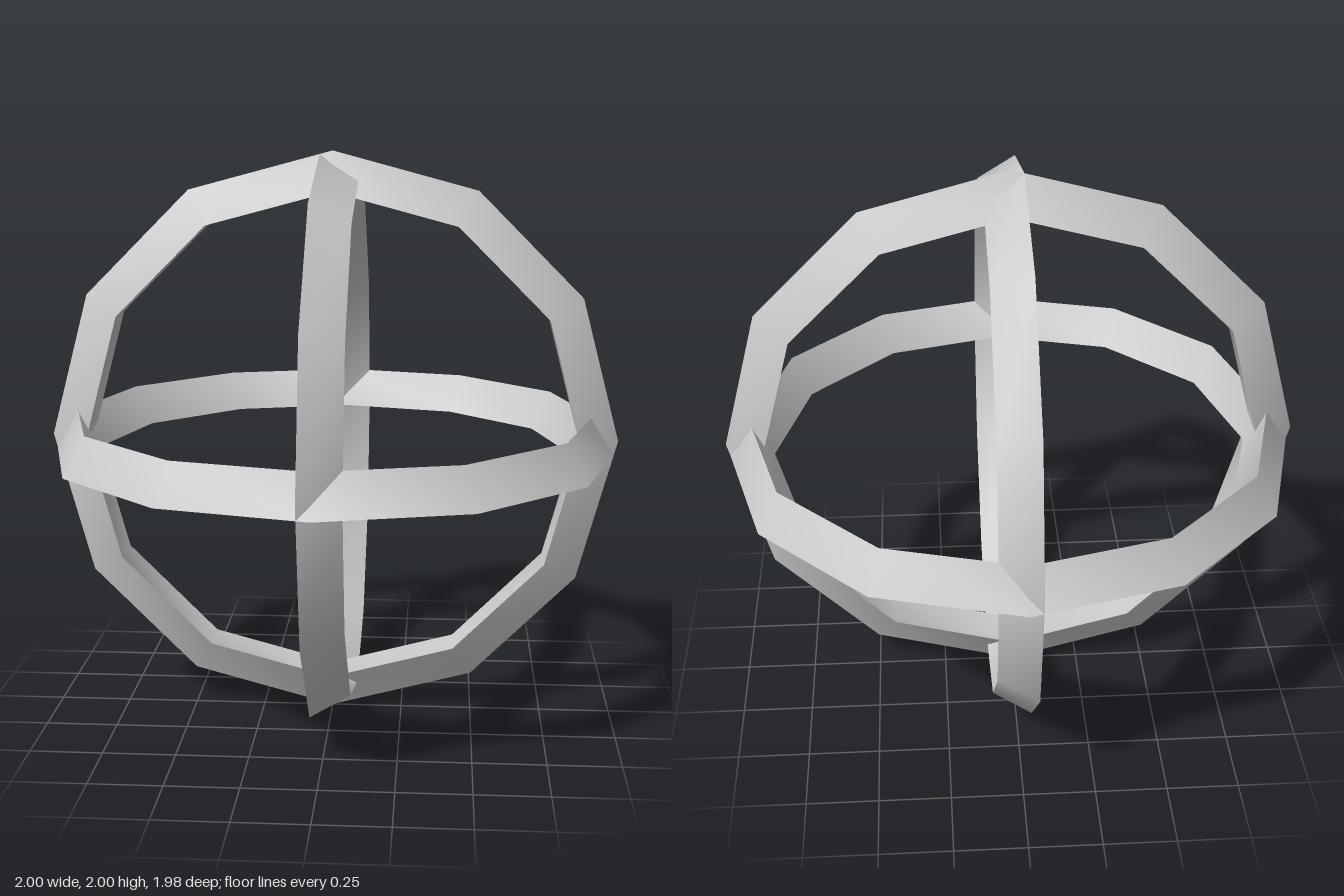
import * as THREE from 'three';
import { toCreasedNormals } from 'three/addons/utils/BufferGeometryUtils.js';

const RADIUS = 0.91; // centre line of each ring
const TUBE = 0.09; // circumradius of the triangular section
const SEGMENTS = 12;

// Twelve-sided ring around the y axis with a triangular section;
// "ridge" is the section angle of one corner (0 = outward, PI / 2 = along the axis).
function ringGeometry(ridge) {
  const profile = [];
  for (let k = 0; k <= 3; k++) {
    const a = ridge + ((k % 3) * Math.PI * 2) / 3;
    profile.push(new THREE.Vector2(RADIUS + TUBE * Math.cos(a), TUBE * Math.sin(a)));
  }
  // smooth around the ring, sharp along the three section edges
  return toCreasedNormals(new THREE.LatheGeometry(profile, SEGMENTS), Math.PI / 4);
}

export function createModel() {
  const model = new THREE.Group();
  model.name = 'ringSphere';
  const material = new THREE.MeshStandardMaterial({ color: 0xcccccc });

  const addRing = (name, ridge, rx, rz) => {
    const ring = new THREE.Mesh(ringGeometry(ridge), material);
    ring.name = name;
    ring.rotation.set(rx, 0, rz);
    ring.position.y = 1;
    model.add(ring);
  };

  addRing('frontRing', 0, Math.PI / 2, 0); // ridge points outward
  addRing('sideRing', Math.PI / 2, 0, -Math.PI / 2); // ridge points to +x
  addRing('equatorRing', Math.PI / 2, 0, 0); // ridge points up

  return model;
}
